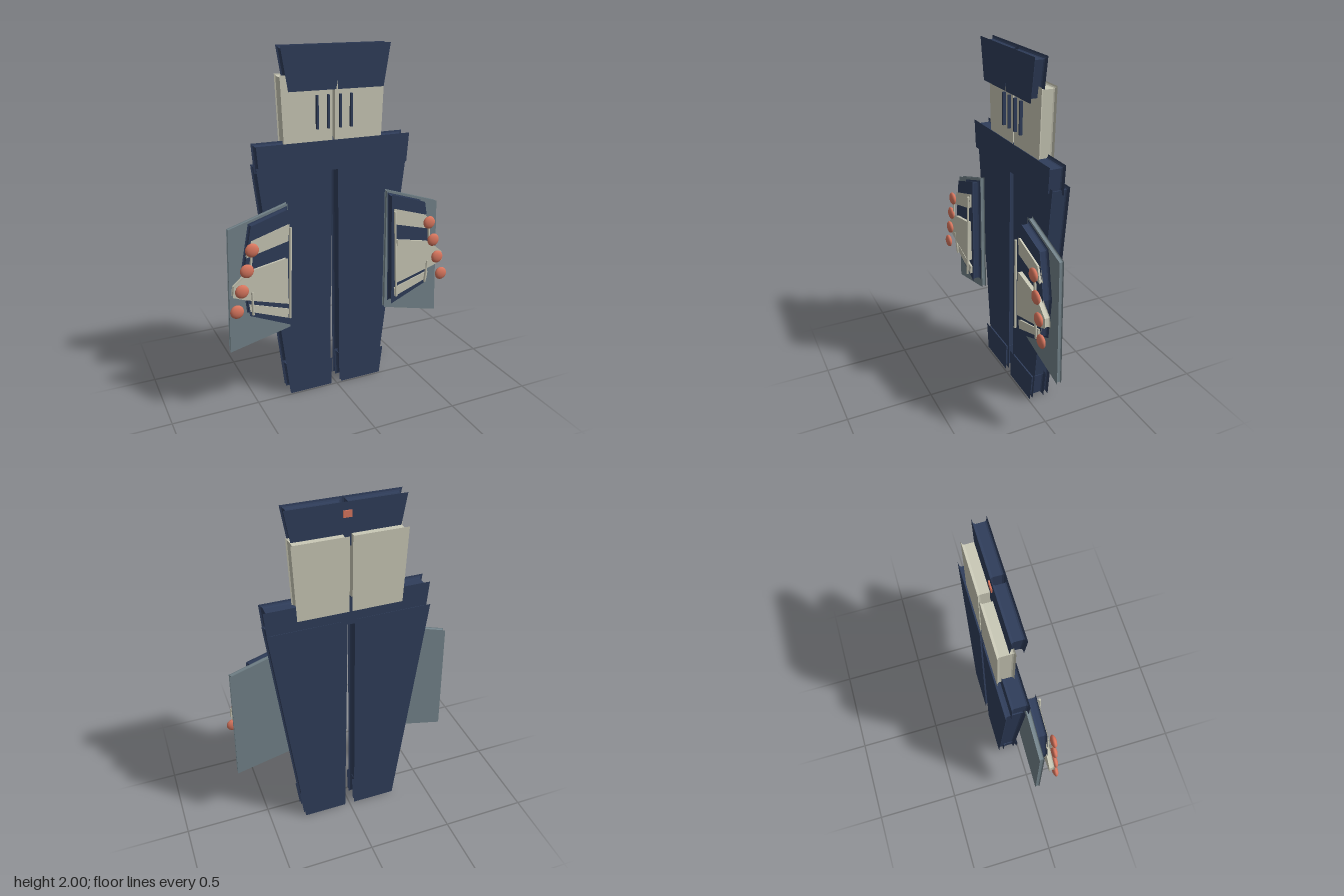
import * as THREE from 'three';

const mat = (name, color) => {
  const m = new THREE.MeshStandardMaterial({ color });
  m.name = name;
  return m;
};

export function createModel() {
  const model = new THREE.Group();
  model.name = 'panelFigure';
  const navy = mat('navy', 0x2f3d5a);
  const cream = mat('cream', 0xc9c8b6);
  const grey = mat('slateGrey', 0x73838a);
  const coral = mat('coral', 0xd9775f);

  // Flat panel whose side walls are sunk between flared front and back lips
  function panel(parent, name, material, points, z0, z1, inset = 0.018) {
    const shape = new THREE.Shape(points.map(([x, y]) => new THREE.Vector2(x, y)));
    const lip = Math.min(0.014, (z1 - z0) * 0.3);
    const geo = new THREE.ExtrudeGeometry(shape, {
      depth: z1 - z0 - 2 * lip, bevelEnabled: true,
      bevelThickness: lip, bevelSize: -inset, bevelSegments: 3,
    });
    geo.translate(0, 0, z0 + lip);
    return add(parent, name, geo, material);
  }

  function add(parent, name, geo, material) {
    const mesh = new THREE.Mesh(geo, material);
    mesh.name = name;
    parent.add(mesh);
    return mesh;
  }

  function rod(parent, name, a, b, radius) {
    const path = new THREE.LineCurve3(new THREE.Vector3(...a), new THREE.Vector3(...b));
    const dir = path.getTangent(0);
    const mesh = add(parent, name, new THREE.CylinderGeometry(radius, radius, path.getLength(), 8), cream);
    mesh.position.copy(path.getPoint(0.5));
    mesh.quaternion.setFromUnitVectors(new THREE.Vector3(0, 1, 0), dir);
  }

  for (const [side, s] of [['left', 1], ['right', -1]]) {
    const half = new THREE.Group();
    half.name = side + 'Half';
    model.add(half);
    const m = (pts) => pts.map(([x, y]) => [s * x, y]);

    // Leg, foot cuff and waist band
    panel(half, 'leg', navy, m([[0.02, 1.38], [0.45, 1.38], [0.29, 0], [0.03, 0]]), -0.13, -0.03, 0.02);
    panel(half, 'foot', navy, m([[0.026, 0.175], [0.314, 0.175], [0.293, 0], [0.033, 0]]), -0.1, -0.01, 0.02);
    panel(half, 'waistBand', navy, m([[0, 1.5], [0.453, 1.5], [0.44, 1.335], [0, 1.335]]), -0.1, -0.01, 0.02);

    // Chest plate with slits, and head block
    panel(half, 'chest', cream, m([[0.008, 1.85], [0.303, 1.85], [0.287, 1.43], [0.008, 1.43]]), -0.125, -0.04, 0.015);
    for (const x of [0.035, 0.1]) {
      const slit = add(half, 'chestSlit', new THREE.BoxGeometry(0.011, 0.18, 0.02), navy);
      slit.position.set(s * x, 1.65, -0.033);
    }
    panel(half, 'head', navy, m([[0, 2], [0.313, 2], [0.275, 1.77], [0.005, 1.77], [0, 1.82]]), -0.065, 0.005, 0.02);

    // Wing plate and raised backing
    const arm = new THREE.Group();
    arm.name = side + 'Arm';
    half.add(arm);
    panel(arm, 'wingPlate', grey, m([[0.3, 1.19], [0.635, 1.085], [0.655, 0.375], [0.3, 0.46]]), 0, 0.025, 0.008);
    panel(arm, 'armBacking', navy,
      m([[0.305, 1.175], [0.525, 1.105], [0.575, 0.84], [0.55, 0.6], [0.32, 0.5]]), 0.025, 0.075, 0.014);

    // Fingers: two bars and a broad palm between them
    panel(arm, 'upperBar', cream, m([[0.315, 1.095], [0.53, 1.03], [0.56, 0.94], [0.325, 1.0]]), 0.07, 0.088, 0.005);
    panel(arm, 'lowerBar', cream, m([[0.33, 0.605], [0.555, 0.675], [0.55, 0.63], [0.335, 0.55]]), 0.07, 0.088, 0.004);
    panel(arm, 'palm', cream,
      m([[0.335, 0.91], [0.545, 0.87], [0.64, 0.79], [0.645, 0.735], [0.58, 0.71], [0.335, 0.64]]), 0.07, 0.1, 0.006);

    // Upright rods on the inner and outer edges
    rod(arm, 'innerRod', [s * 0.315, 1.08, 0.1], [s * 0.332, 0.56, 0.11], 0.007);
    rod(arm, 'upperOuterRod', [s * 0.535, 0.99, 0.105], [s * 0.545, 0.87, 0.105], 0.007);
    rod(arm, 'lowerOuterRod', [s * 0.54, 0.75, 0.1], [s * 0.535, 0.61, 0.09], 0.007);

    // Row of flattened fingertip beads
    for (let i = 0; i < 4; i++) {
      const bead = add(arm, 'bead', new THREE.SphereGeometry(0.038, 14, 10), coral);
      bead.scale.z = 0.45;
      bead.position.set(s * (0.535 + 0.032 * i), 0.99 - 0.111 * i, 0.113);
    }
  }

  // Small tab on the back of the head
  const tab = add(model, 'backTab', new THREE.BoxGeometry(0.045, 0.035, 0.012), coral);
  tab.position.set(0, 1.94, -0.066);
  return model;
}
